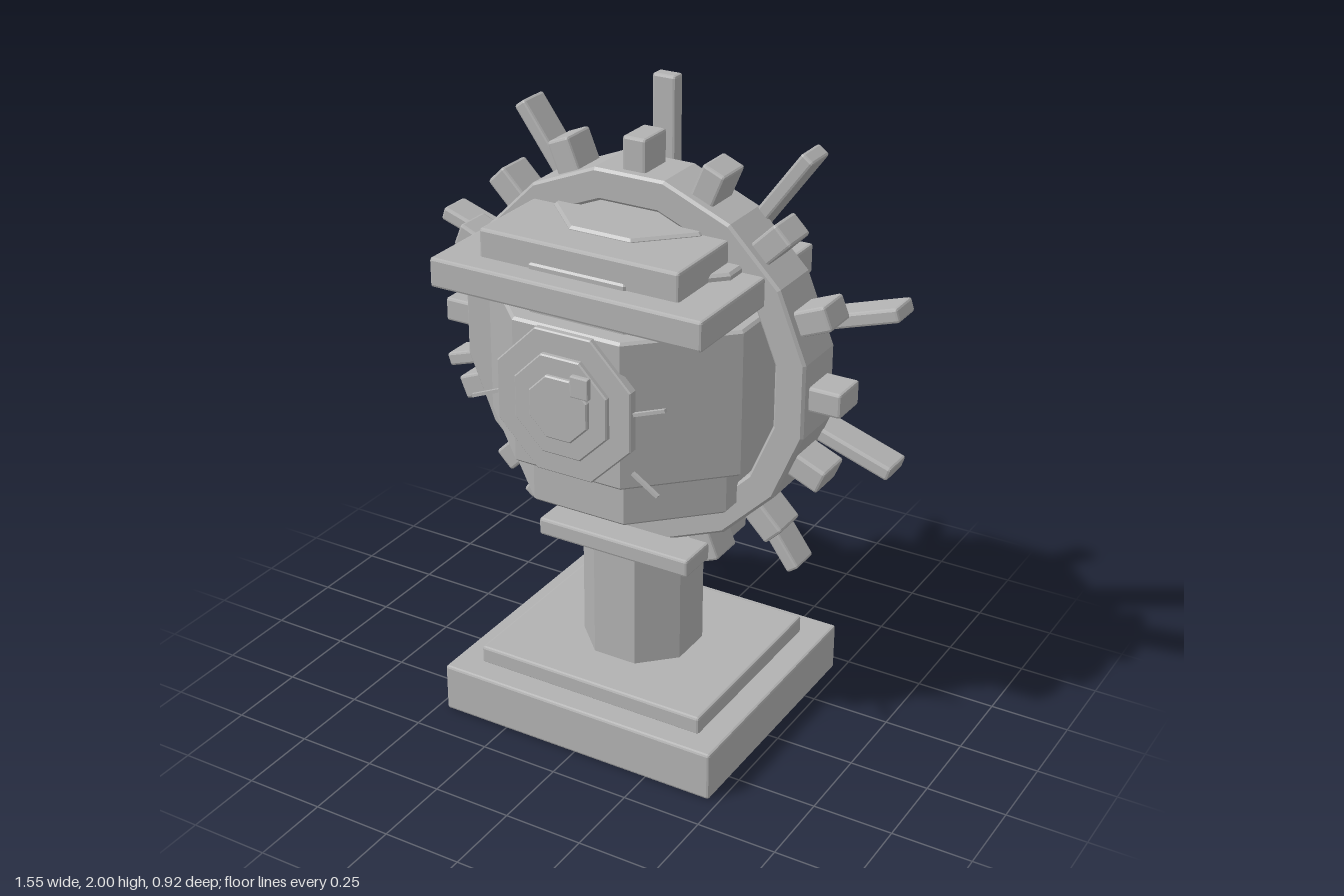
import * as THREE from 'three';
import { RoundedBoxGeometry } from 'three/addons/geometries/RoundedBoxGeometry.js';

const BEVEL = 0.008;
const CENTRE_Y = 1.19; // axis of ring and dial
const BODY_Z = -0.03; // axis of pedestal and body

export function createModel() {
  const model = new THREE.Group();
  const grey = new THREE.MeshStandardMaterial({ color: 0xb2b2b2 });

  const flat = (geometry) => {
    const g = geometry.index ? geometry.toNonIndexed() : geometry;
    g.computeVertexNormals();
    return g;
  };

  const add = (name, geometry, parent = model) => {
    const mesh = new THREE.Mesh(flat(geometry), grey);
    mesh.name = name;
    parent.add(mesh);
    return mesh;
  };

  // box with chamfered edges, given by its limits
  const box = (name, x0, x1, y0, y1, z0, z1, parent = model) => {
    const size = [x1 - x0, y1 - y0, z1 - z0];
    const r = Math.min(BEVEL, Math.min(...size) * 0.2);
    const mesh = add(name, new RoundedBoxGeometry(...size, 1, r), parent);
    mesh.position.set((x0 + x1) / 2, (y0 + y1) / 2, (z0 + z1) / 2);
    return mesh;
  };

  // regular polygon with flat sides facing the axes
  const polygon = (sides, apothem, Type = THREE.Shape) => {
    const r = apothem / Math.cos(Math.PI / sides);
    const points = [];
    for (let i = 0; i < sides; i++) {
      const a = ((i + 0.5) / sides) * Math.PI * 2;
      points.push(new THREE.Vector2(Math.cos(a) * r, Math.sin(a) * r));
    }
    return new Type(points);
  };

  // chamfered extrusion from z0 to z1
  const extrude = (shape, z0, z1, bevel = BEVEL) =>
    new THREE.ExtrudeGeometry(shape, {
      depth: z1 - z0 - 2 * bevel,
      bevelThickness: bevel,
      bevelSize: bevel,
      bevelOffset: -bevel,
      bevelSegments: 1,
    }).translate(0, 0, z0 + bevel);

  const uprightOctagon = (name, apothem, y0, y1) => {
    const mesh = add(name, extrude(polygon(8, apothem), y0, y1).rotateX(-Math.PI / 2));
    mesh.position.z = BODY_Z;
  };

  // pedestal
  box('baseSlab', -0.47, 0.47, 0, 0.157, -0.452, 0.385);
  box('baseStep', -0.387, 0.387, 0.15, 0.21, -0.367, 0.303);
  uprightOctagon('column', 0.173, 0.19, 0.6);
  box('columnCap', -0.26, 0.26, 0.578, 0.635, -0.217, 0.157);

  // stepped octagonal body
  uprightOctagon('bodyMain', 0.425, 0.96, 1.415);
  uprightOctagon('bodyMiddle', 0.368, 0.812, 1.565);
  uprightOctagon('bodyInner', 0.241, 0.74, 1.64);

  // flat brim and crown at the front of the top
  box('brim', -0.44, 0.44, 1.455, 1.545, -0.24, 0.413);
  box('crown', -0.323, 0.323, 1.535, 1.63, -0.13, 0.332);

  // sixteen-sided ring around the body
  const ringShape = polygon(16, 0.573);
  ringShape.holes.push(polygon(16, 0.477, THREE.Path));
  add('ring', extrude(ringShape, -0.127, 0.058)).position.y = CENTRE_Y;

  // square teeth on the ring
  for (let i = 0; i < 16; i++) {
    const arm = new THREE.Group();
    arm.name = 'tooth';
    arm.position.y = CENTRE_Y;
    arm.rotation.z = (i / 16) * Math.PI * 2;
    box('toothBlock', 0.55, 0.672, -0.038, 0.038, -0.094, 0.027, arm);
    model.add(arm);
  }

  // long spikes behind the ring; the top one is turned flat
  for (let i = 0; i < 10; i++) {
    const degrees = 18 + i * 36;
    if (degrees === 270) continue;
    const top = degrees === 90;
    const halfWidth = top ? 0.038 : 0.022;
    const halfDepth = top ? 0.023 : 0.053;
    const arm = new THREE.Group();
    arm.name = 'spike';
    arm.position.y = CENTRE_Y;
    arm.rotation.z = THREE.MathUtils.degToRad(degrees);
    box('spikeBar', 0.495, 0.81, -halfWidth, halfWidth, -0.161 - halfDepth, -0.161 + halfDepth, arm);
    model.add(arm);
  }

  // stacked octagonal dial on the front
  const dial = [
    ['dialOuter', 0.22, 0.38, 0.412],
    ['dialMiddle', 0.152, 0.4, 0.428],
    ['dialInner', 0.096, 0.41, 0.441],
  ];
  for (const [name, apothem, z0, z1] of dial) {
    add(name, extrude(polygon(8, apothem), z0, z1, 0.004)).position.y = CENTRE_Y;
  }
  box('dialStud', 0.053, 0.112, 1.25, 1.315, 0.441, 0.46);

  // thin rods beside the dial
  const rods = [
    [-0.315, 1.14, -0.22, 1.18],
    [0.225, 1.215, 0.325, 1.253],
    [0.22, 1.032, 0.302, 0.98],
  ];
  for (const [x0, y0, x1, y1] of rods) {
    const length = Math.hypot(x1 - x0, y1 - y0);
    const rod = add('rod', new THREE.BoxGeometry(length, 0.01, 0.012));
    rod.position.set((x0 + x1) / 2, (y0 + y1) / 2, 0.4);
    rod.rotation.z = Math.atan2(y1 - y0, x1 - x0);
  }

  return model;
}
